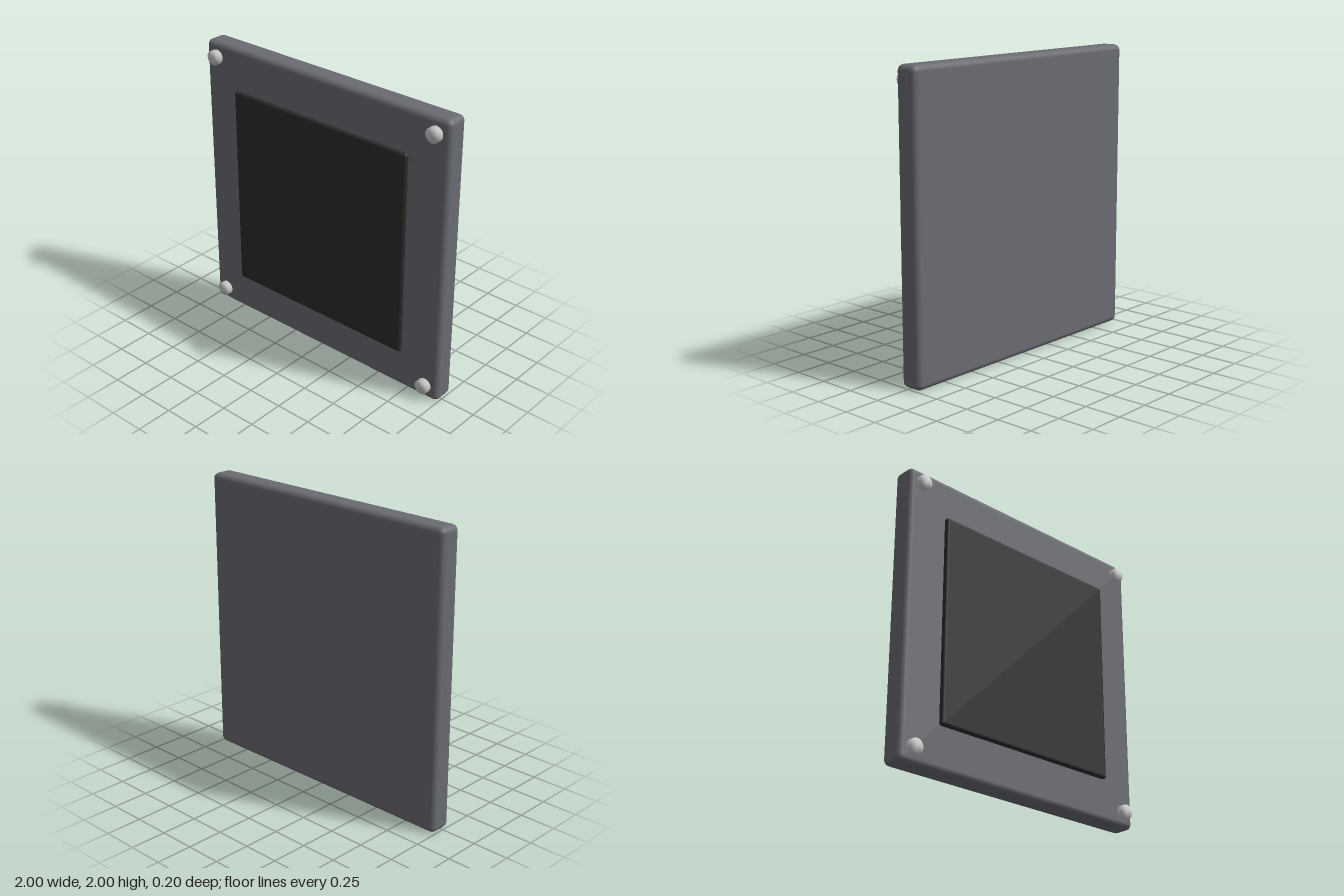
import * as THREE from 'three';
import { RoundedBoxGeometry } from 'three/addons/geometries/RoundedBoxGeometry.js';
import { mergeVertices } from 'three/addons/utils/BufferGeometryUtils.js';

const paint = (color) => new THREE.MeshStandardMaterial({ color });

function add(parent, name, geometry, material, x, y, z) {
  const mesh = new THREE.Mesh(geometry, material);
  mesh.name = name;
  mesh.position.set(x, y, z);
  parent.add(mesh);
  return mesh;
}

// Short stud facing +z, with normals shared across the rim for a soft look
function studGeometry(radius, depth) {
  const cylinder = new THREE.CylinderGeometry(radius, radius, depth, 24);
  cylinder.rotateX(Math.PI / 2);
  cylinder.deleteAttribute('normal');
  cylinder.deleteAttribute('uv');
  const merged = mergeVertices(cylinder);
  merged.computeVertexNormals();
  return merged;
}

export function createModel() {
  const model = new THREE.Group();
  model.name = 'wallPanel';

  // Backing plate with rounded edges
  add(model, 'backPlate', new RoundedBoxGeometry(2, 2, 0.16, 4, 0.04), paint(0x6b6c72), 0, 1, -0.02);

  // Dark raised screen
  add(model, 'screen', new RoundedBoxGeometry(1.43, 1.43, 0.04, 4, 0.019), paint(0x2c2c2c), 0, 1, 0.08);

  // Four corner bolts
  const bolts = new THREE.Group();
  bolts.name = 'bolts';
  const boltGeometry = studGeometry(0.05, 0.05);
  const boltMaterial = paint(0xcccccc);
  for (const x of [-0.9, 0.9]) {
    for (const y of [0.1, 1.9]) add(bolts, 'bolt', boltGeometry, boltMaterial, x, y, 0.075);
  }
  model.add(bolts);

  return model;
}
